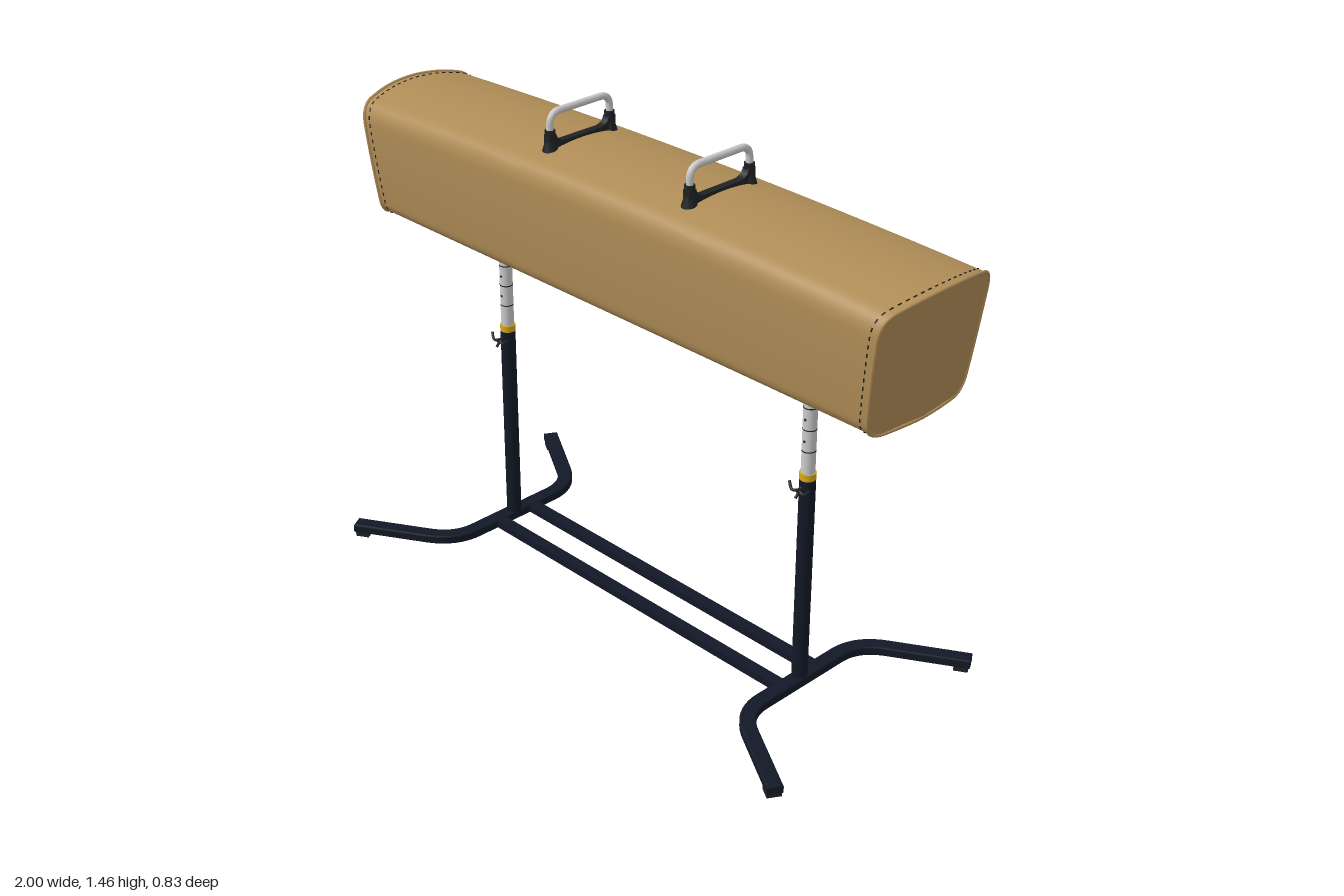
import * as THREE from 'three';
import { mergeGeometries, toCreasedNormals } from 'three/addons/utils/BufferGeometryUtils.js';

const mat = (color) => new THREE.MeshStandardMaterial({ color });
const leather = mat(0xb08d57), navy = mat(0x121826), black = mat(0x202224);
const yellow = mat(0xd9a81c), steel = mat(0xcccccc);
const V = (x, y, z) => new THREE.Vector3(x, y, z);

function add(parent, name, geometry, material, x = 0, y = 0, z = 0) {
  const mesh = new THREE.Mesh(geometry, material);
  mesh.name = name;
  mesh.position.set(x, y, z);
  parent.add(mesh);
  return mesh;
}

// Cross-section of the padded body as (z, y) points, mirrored about z = 0
function bodySection() {
  const s = new THREE.Shape();
  s.moveTo(0, 0.975);
  s.lineTo(0.135, 0.975);
  s.quadraticCurveTo(0.18, 0.977, 0.184, 1.02);
  s.quadraticCurveTo(0.197, 1.15, 0.2, 1.27);
  s.quadraticCurveTo(0.2, 1.326, 0.155, 1.336);
  s.quadraticCurveTo(0.08, 1.357, 0, 1.357);
  const half = s.getPoints(8);
  return half.concat(half.slice(1, -1).reverse().map((p) => new THREE.Vector2(-p.x, p.y)));
}

// Places a section point along the body: ends lean and bulge outwards, the top is cambered
function bodyPoint(p, t, scale = 1) {
  const z = p.x * scale, y = 1.165 + (p.y - 1.165) * scale;
  const h = (y - 0.975) / 0.38;
  return V(t * (0.945 + 0.05 * h - 0.7 * z * z), y - 0.022 * t * t * h, z);
}

function bodyGeometry(section) {
  const rings = [];
  const scales = [0, 0.25, 0.5, 0.75, 0.92];
  scales.forEach((s) => rings.push([-1, s]));
  for (let i = 0; i <= 16; i++) rings.push([-1 + i / 8, 1]);
  scales.reverse().forEach((s) => rings.push([1, s]));
  const n = section.length, pos = [], index = [];
  rings.forEach(([t, s], i) => section.forEach((p, j) => {
    pos.push(...bodyPoint(p, t, s).toArray());
    if (i === rings.length - 1) return;
    const a = i * n + j, b = i * n + (j + 1) % n;
    index.push(a, a + n, b, b, a + n, b + n);
  }));
  const g = new THREE.BufferGeometry();
  g.setAttribute('position', new THREE.Float32BufferAttribute(pos, 3));
  g.setIndex(index);
  return toCreasedNormals(g, 0.8);
}

// Dashed thread running round the body
function stitchGeometry(section, t) {
  const curve = new THREE.CatmullRomCurve3(section.map((p) => bodyPoint(p, t, 1.003)), true);
  const pts = curve.getSpacedPoints(120), parts = [];
  for (let i = 0; i < 120; i += 2) {
    parts.push(new THREE.TubeGeometry(new THREE.LineCurve3(pts[i], pts[i + 1]), 1, 0.002, 5));
  }
  return mergeGeometries(parts);
}

// Flat bent foot bar: offsets a centre line to both sides and extrudes it upwards
function footGeometry() {
  const line = new THREE.Path();
  line.moveTo(0.87, -0.395);
  line.lineTo(0.67, -0.275);
  line.quadraticCurveTo(0.595, -0.23, 0.595, -0.15);
  line.lineTo(0.595, 0.15);
  line.quadraticCurveTo(0.595, 0.23, 0.67, 0.275);
  line.lineTo(0.87, 0.395);
  const c = line.getPoints(10), left = [], right = [];
  c.forEach((p, i) => {
    const d = c[Math.min(i + 1, c.length - 1)].clone().sub(c[Math.max(i - 1, 0)]).normalize();
    left.push(new THREE.Vector2(p.x - d.y * 0.022, p.y + d.x * 0.022));
    right.unshift(new THREE.Vector2(p.x + d.y * 0.022, p.y - d.x * 0.022));
  });
  const g = new THREE.ExtrudeGeometry(new THREE.Shape(left.concat(right)), {
    depth: 0.018, bevelThickness: 0.004, bevelSize: 0.004, bevelOffset: -0.004, bevelSegments: 2,
  });
  return g.rotateX(Math.PI / 2).translate(0, 0.035, 0);
}

// Grab handle with its saddle-shaped base, centred on x = 0
function makeHandle() {
  const g = new THREE.Group();
  const path = new THREE.CurvePath();
  const w = 0.107, top = 1.447, r = 0.035;
  path.add(new THREE.LineCurve3(V(0, 1.37, -w), V(0, top - r, -w)));
  path.add(new THREE.QuadraticBezierCurve3(V(0, top - r, -w), V(0, top, -w), V(0, top, -w + r)));
  path.add(new THREE.LineCurve3(V(0, top, -w + r), V(0, top, w - r)));
  path.add(new THREE.QuadraticBezierCurve3(V(0, top, w - r), V(0, top, w), V(0, top - r, w)));
  path.add(new THREE.LineCurve3(V(0, top - r, w), V(0, 1.37, w)));
  add(g, 'handleBar', new THREE.TubeGeometry(path, 64, 0.01, 12), steel);

  const s = new THREE.Shape();
  s.moveTo(-0.12, 1.335);
  s.lineTo(-0.119, 1.388);
  s.lineTo(-0.095, 1.388);
  s.quadraticCurveTo(-0.088, 1.362, -0.055, 1.364);
  s.lineTo(0.055, 1.364);
  s.quadraticCurveTo(0.088, 1.362, 0.095, 1.388);
  s.lineTo(0.119, 1.388);
  s.lineTo(0.12, 1.335);
  const base = new THREE.ExtrudeGeometry(s, { depth: 0.022, bevelEnabled: false });
  add(g, 'handleBase', base.translate(0, 0, -0.011).rotateY(Math.PI / 2), black);
  for (const z of [-w, w]) {
    add(g, 'handleFlange', new THREE.CylinderGeometry(0.014, 0.023, 0.03, 16), black, 0, 1.354, z);
    add(g, 'handleSocket', new THREE.CylinderGeometry(0.014, 0.014, 0.04, 16), black, 0, 1.38, z);
  }
  return g;
}

// Telescopic post with collar, height marks, pin holes and clamp lever
function makePost() {
  const g = new THREE.Group();
  add(g, 'outerPost', new THREE.CylinderGeometry(0.022, 0.022, 0.635, 24), navy, 0, 0.3375, 0);
  add(g, 'collar', new THREE.CylinderGeometry(0.0225, 0.0225, 0.02, 24), yellow, 0, 0.665, 0);
  add(g, 'innerPost', new THREE.CylinderGeometry(0.019, 0.019, 0.32, 24), steel, 0, 0.825, 0);
  add(g, 'postTop', new THREE.CylinderGeometry(0.023, 0.02, 0.03, 24), steel, 0, 0.965, 0);
  for (let i = 0; i < 4; i++) {
    const y = 0.74 + i * 0.063;
    add(g, 'heightMark', new THREE.CylinderGeometry(0.0195, 0.0195, 0.003, 24), black, 0, y, 0);
    add(g, 'pinHole', new THREE.CylinderGeometry(0.004, 0.004, 0.039, 10).rotateX(Math.PI / 2), black, 0, y + 0.03, 0);
  }
  add(g, 'clampScrew', new THREE.CylinderGeometry(0.006, 0.006, 0.025, 10).rotateX(Math.PI / 2), black, 0, 0.632, 0.027);
  const lever = new THREE.CatmullRomCurve3([
    V(-0.036, 0.645, 0.03), V(-0.02, 0.628, 0.037), V(0, 0.632, 0.034), V(0.02, 0.628, 0.037), V(0.036, 0.645, 0.03)]);
  add(g, 'clampLever', new THREE.TubeGeometry(lever, 16, 0.004, 8), black);
  const tail = new THREE.LineCurve3(V(0, 0.638, 0.024), V(0, 0.613, 0.045));
  add(g, 'clampTail', new THREE.TubeGeometry(tail, 1, 0.004, 8), black);
  return g;
}

export function createModel() {
  const model = new THREE.Group();
  model.name = 'pommelHorse';

  // Padded body with piped, stitched ends
  const section = bodySection();
  add(model, 'body', bodyGeometry(section), leather);
  for (const side of [-1, 1]) {
    const rim = new THREE.CatmullRomCurve3(section.map((p) => bodyPoint(p, side * 0.998)), true);
    add(model, 'endPiping', new THREE.TubeGeometry(rim, 120, 0.005, 8, true), leather);
    add(model, 'stitching', stitchGeometry(section, side * 0.975), black);
  }

  // Handles and posts
  for (const side of [-1, 1]) {
    const handle = makeHandle();
    handle.name = 'handle';
    handle.position.x = side * 0.26;
    const post = makePost();
    post.name = 'post';
    post.position.x = side * 0.592;
    model.add(handle, post);
  }

  // Base: bent feet, pads and the two long rails
  for (const side of [0, 1]) {
    const foot = new THREE.Group();
    foot.name = 'foot';
    foot.rotation.y = side * Math.PI;
    add(foot, 'footBar', footGeometry(), navy);
    for (const z of [-1, 1]) {
      const pad = add(foot, 'footPad', new THREE.BoxGeometry(0.04, 0.014, 0.04), black, 0.848, 0.007, z * 0.382);
      pad.rotation.y = -z * 0.54;
    }
    model.add(foot);
  }
  for (const z of [-0.065, 0.065]) {
    add(model, 'baseRail', new THREE.BoxGeometry(1.17, 0.022, 0.036), navy, 0, 0.026, z);
  }
  return model;
}
